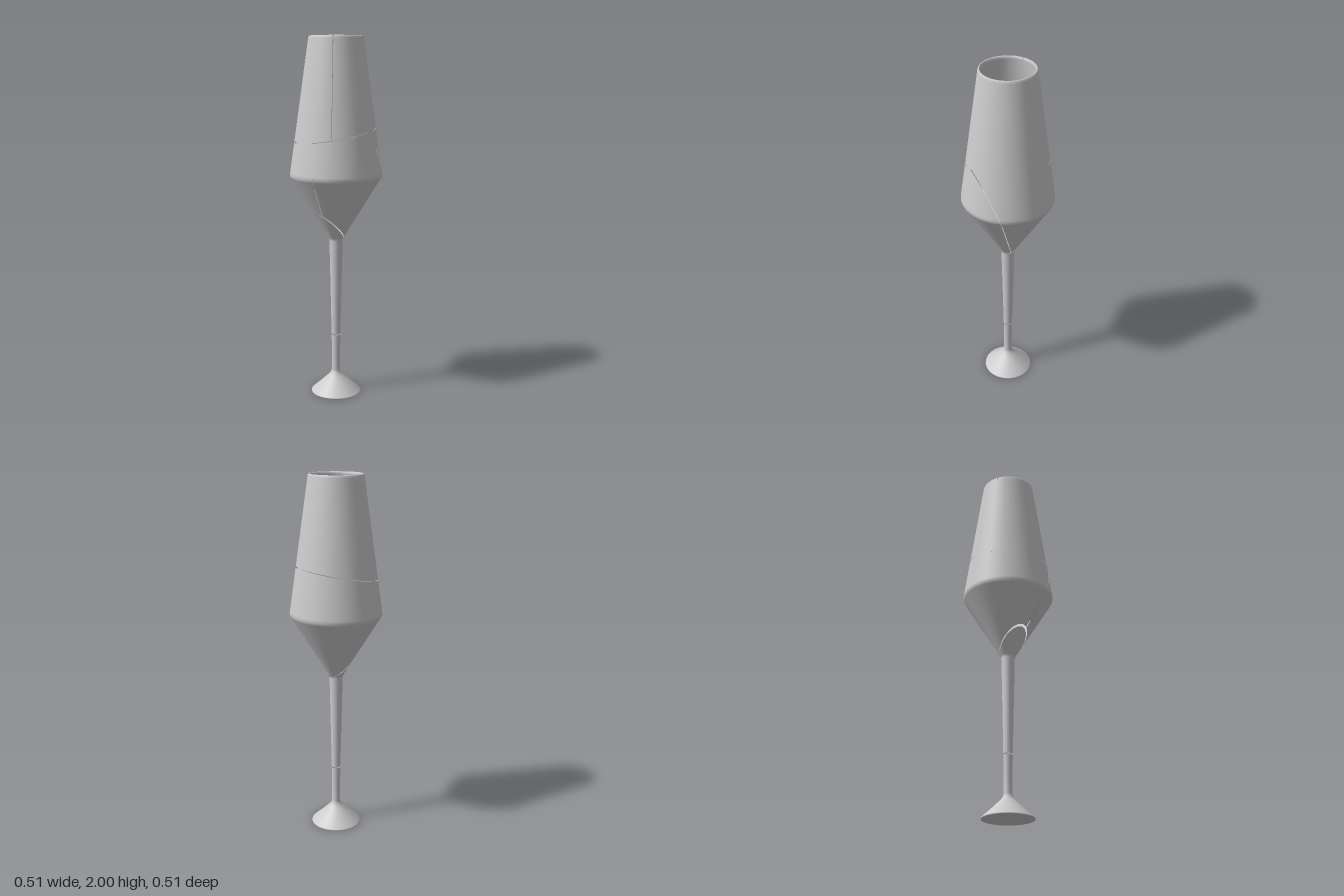
import * as THREE from 'three';

const GAP = 0.0022; // half width of a crack

// Half-space { n.p >= d }, with its unit normal
const plane = (x, y, z, d) => {
  const l = Math.hypot(x, y, z);
  return { n: [x / l, y / l, z / l], d: d / l };
};
const keep = (p, gap = GAP) => ({ n: p.n, d: p.d + gap });
const drop = (p, gap = GAP) => ({ n: p.n.map((v) => -v), d: -p.d + gap });

// Cut one polygon (vertices hold position and normal) by a half-space
function cut(poly, { n, d }) {
  const dist = (v) => v[0] * n[0] + v[1] * n[1] + v[2] * n[2] - d;
  const out = [];
  poly.forEach((a, i) => {
    const b = poly[(i + 1) % poly.length];
    const da = dist(a), db = dist(b);
    if (da >= 0) out.push(a);
    if ((da >= 0) !== (db >= 0)) {
      const t = da / (da - db);
      out.push(a.map((v, k) => v + (b[k] - v) * t));
    }
  });
  return out;
}

// Part of a surface that lies inside all half-spaces
function fragment(source, planes) {
  const P = source.attributes.position, N = source.attributes.normal;
  const pos = [], nor = [];
  for (let i = 0; i < P.count; i += 3) {
    let poly = [i, i + 1, i + 2].map((k) =>
      [P.getX(k), P.getY(k), P.getZ(k), N.getX(k), N.getY(k), N.getZ(k)]);
    for (const p of planes) if (poly.length) poly = cut(poly, p);
    for (let k = 1; k + 1 < poly.length; k++) {
      for (const v of [poly[0], poly[k], poly[k + 1]]) {
        pos.push(v[0], v[1], v[2]);
        nor.push(v[3], v[4], v[5]);
      }
    }
  }
  const g = new THREE.BufferGeometry();
  g.setAttribute('position', new THREE.Float32BufferAttribute(pos, 3));
  g.setAttribute('normal', new THREE.Float32BufferAttribute(nor, 3));
  return g;
}

export function createModel() {
  const group = new THREE.Group();
  const material = new THREE.MeshStandardMaterial({ color: 0xcccccc, side: THREE.DoubleSide });

  // Closed profile: hollow foot, stem, bowl, rounded rim, inner wall, floor
  const profile = [
    [0, 0.035], [0.06, 0.025], [0.132, 0.002], [0.136, 0], [0.14, 0], [0.139, 0.006],
    [0.085, 0.055], [0.04, 0.098], [0.027, 0.115], [0.023, 0.13], [0.023, 0.2],
    [0.025, 0.34], [0.031, 0.62], [0.037, 0.885], [0.041, 0.9],
    [0.148, 1.075], [0.247, 1.236], [0.254, 1.25], [0.252, 1.266],
    [0.2, 1.63], [0.1495, 1.985], [0.147, 1.996], [0.143, 2], [0.138, 1.997], [0.1355, 1.985],
    [0.186, 1.63], [0.238, 1.266], [0.24, 1.25], [0.214, 1.205], [0.208, 1.2], [0, 1.2],
  ].map(([r, y]) => new THREE.Vector2(r, y));
  const glass = new THREE.LatheGeometry(profile, 32).toNonIndexed();

  // Crack planes
  const stemCrack = plane(0.06, 1, 0, 0.34);
  const neckCrack = plane(0, 1, -0.9, 0.927);
  const sideCrack = plane(1, -0.37, 0.15, -0.3345);
  const rimCrack = plane(-0.05, 1, 0.17, 1.475);
  const a = Math.PI / 4, b = THREE.MathUtils.degToRad(153);
  const wallCrackLeft = plane(-Math.sin(a), 0, Math.cos(a), 0);
  const wallCrackRight = plane(Math.sin(b), 0, -Math.cos(b), 0);

  const bowl = [keep(neckCrack), drop(rimCrack)];
  const wall = keep(rimCrack);
  const parts = {
    foot: [[drop(stemCrack)]],
    stem: [[keep(stemCrack), drop(neckCrack)]],
    lowerBowl: [[...bowl, drop(sideCrack)]],
    sideShard: [[...bowl, keep(sideCrack)]],
    frontWall: [[wall, keep(wallCrackLeft), keep(wallCrackRight)]],
    // The back wall spans more than half a turn, so it is cut in two joined pieces
    backWall: [
      [wall, drop(wallCrackLeft)],
      [wall, keep(wallCrackLeft, -GAP), drop(wallCrackRight)],
    ],
  };

  for (const [name, pieces] of Object.entries(parts)) {
    const part = new THREE.Group();
    part.name = name;
    for (const planes of pieces) {
      const mesh = new THREE.Mesh(fragment(glass, planes), material);
      mesh.name = name + 'Surface';
      part.add(mesh);
    }
    group.add(part);
  }
  return group;
}
